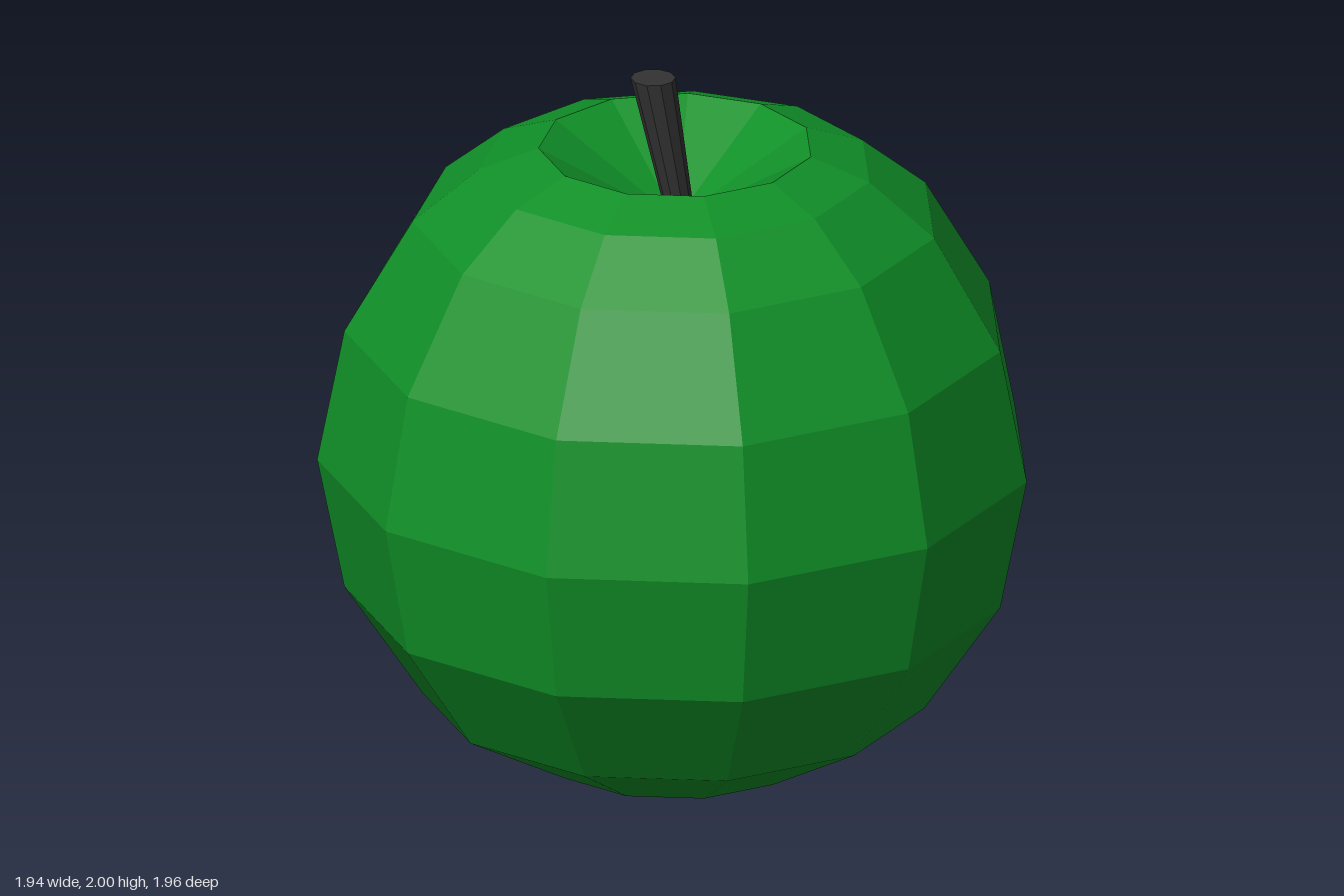
import * as THREE from 'three';

export function createModel() {
  const model = new THREE.Group();
  const skin = new THREE.MeshStandardMaterial({ color: 0x109028, flatShading: true });
  skin.name = 'green skin';
  const wood = new THREE.MeshStandardMaterial({ color: 0x333333, flatShading: true });
  wood.name = 'dark stem';

  // Fruit body: eleven-sided lathe from the lower dimple to the bottom of the stem cavity
  const profile = [
    [0, 0.06], [0.38, 0], [0.70, 0.18], [0.915, 0.50], [0.99, 0.88], [0.915, 1.26],
    [0.728, 1.58], [0.545, 1.73], [0.38, 1.79], [0, 1.57],
  ].map(([r, y]) => new THREE.Vector2(r, y));
  const body = new THREE.Mesh(new THREE.LatheGeometry(profile, 11, Math.PI / 2), skin);
  body.name = 'fruitBody';
  body.position.x = -0.02;
  model.add(body);

  // Stem: tapered, sheared sideways so that its top stays level
  const bottom = 1.56, top = 2;
  const stemGeometry = new THREE.CylinderGeometry(0.062, 0.038, top - bottom, 10);
  stemGeometry.translate(0, (top + bottom) / 2, 0);
  const pos = stemGeometry.attributes.position;
  for (let i = 0; i < pos.count; i++) {
    pos.setX(i, pos.getX(i) - 0.088 + 0.19 * (top - pos.getY(i)));
  }
  stemGeometry.computeVertexNormals();
  const stem = new THREE.Mesh(stemGeometry, wood);
  stem.name = 'stem';
  model.add(stem);

  return model;
}
